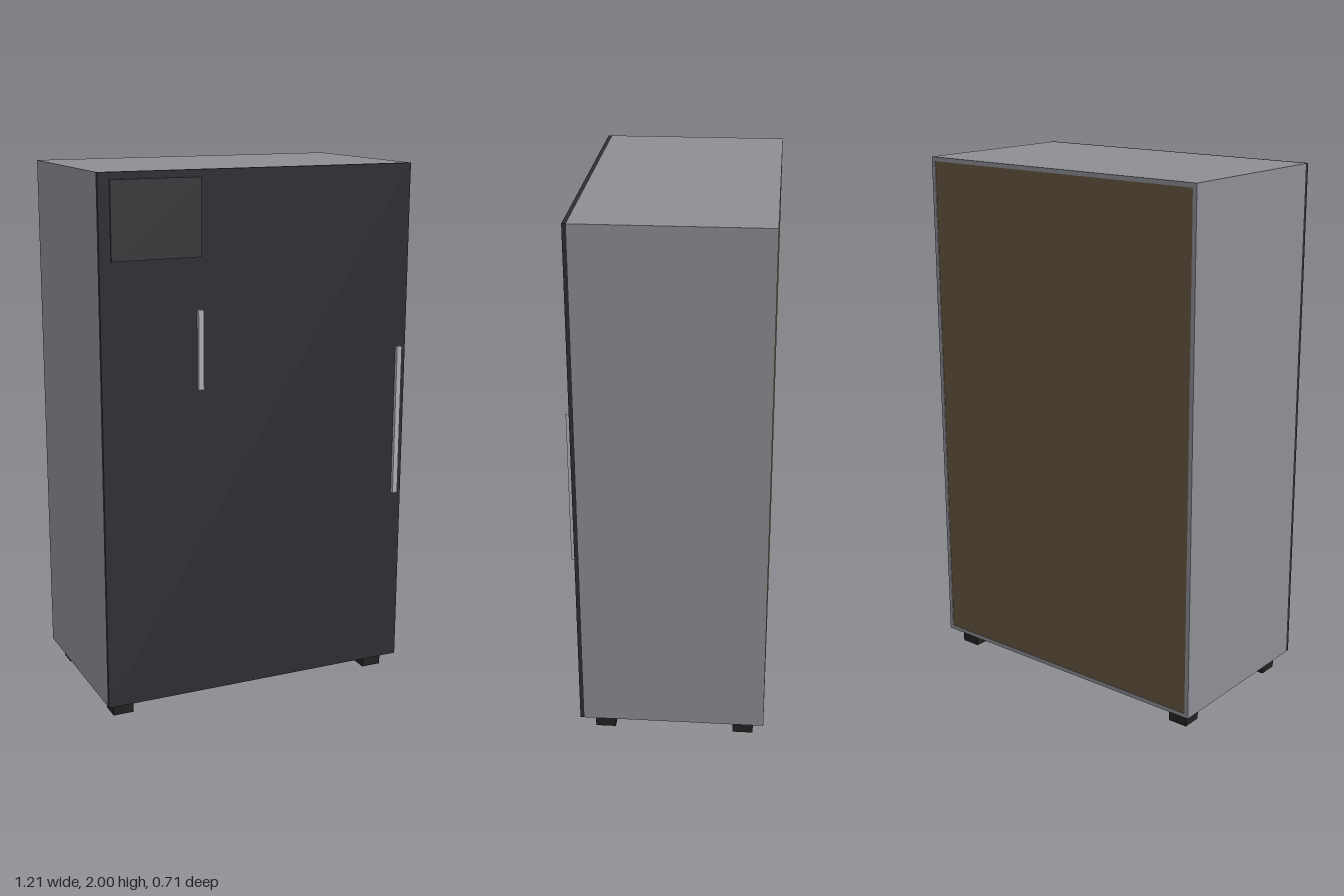
import * as THREE from 'three';

const material = (color) => new THREE.MeshStandardMaterial({ color });

export function createModel() {
  const model = new THREE.Group();
  model.name = 'cabinet';
  const grey = material(0x8e8f95);
  const dark = material(0x2e2f35);
  const black = material(0x222223);
  const brown = material(0x66553f);
  const steel = material(0xb4b4b8);
  const smoke = material(0x383539);

  // Box given by its minimum and maximum corners
  const box = (name, mat, [x0, y0, z0], [x1, y1, z1]) => {
    const mesh = new THREE.Mesh(new THREE.BoxGeometry(x1 - x0, y1 - y0, z1 - z0), mat);
    mesh.position.set((x0 + x1) / 2, (y0 + y1) / 2, (z0 + z1) / 2);
    mesh.name = name;
    model.add(mesh);
  };

  const W = 0.605, bottom = 0.062, top = 2, back = -0.354, front = 0.325, t = 0.016;

  // Carcass: two sides with top and bottom boards between them
  box('rightSide', grey, [-W, bottom, back], [-W + t, top, front]);
  box('leftSide', grey, [W - t, bottom, back], [W, top, front]);
  box('topBoard', grey, [-W + t, top - t, back], [W - t, top, front]);
  box('bottomBoard', grey, [-W + t, bottom, back], [W - t, bottom + t, front]);

  // Thin back panel set just inside the carcass edges
  box('backPanel', brown, [-W + t, bottom + t, back + 0.002], [W - t, top - t, back + 0.012]);

  // Front panel with its inset plate and two bar handles
  box('frontPanel', dark, [-W, bottom, front], [W, top, 0.34]);
  box('frontPlate', smoke, [-0.563, 1.7, 0.34], [-0.23, 1.975, 0.346]);
  box('shortHandle', steel, [-0.247, 1.228, 0.34], [-0.227, 1.515, 0.354]);
  box('longHandle', steel, [0.564, 0.743, 0.34], [0.584, 1.32, 0.354]);

  // Four square feet
  for (const x of [-0.53, 0.53]) {
    for (const z of [-0.276, 0.248]) {
      box('foot', black, [x - 0.039, 0, z - 0.038], [x + 0.039, bottom, z + 0.038]);
    }
  }
  return model;
}
